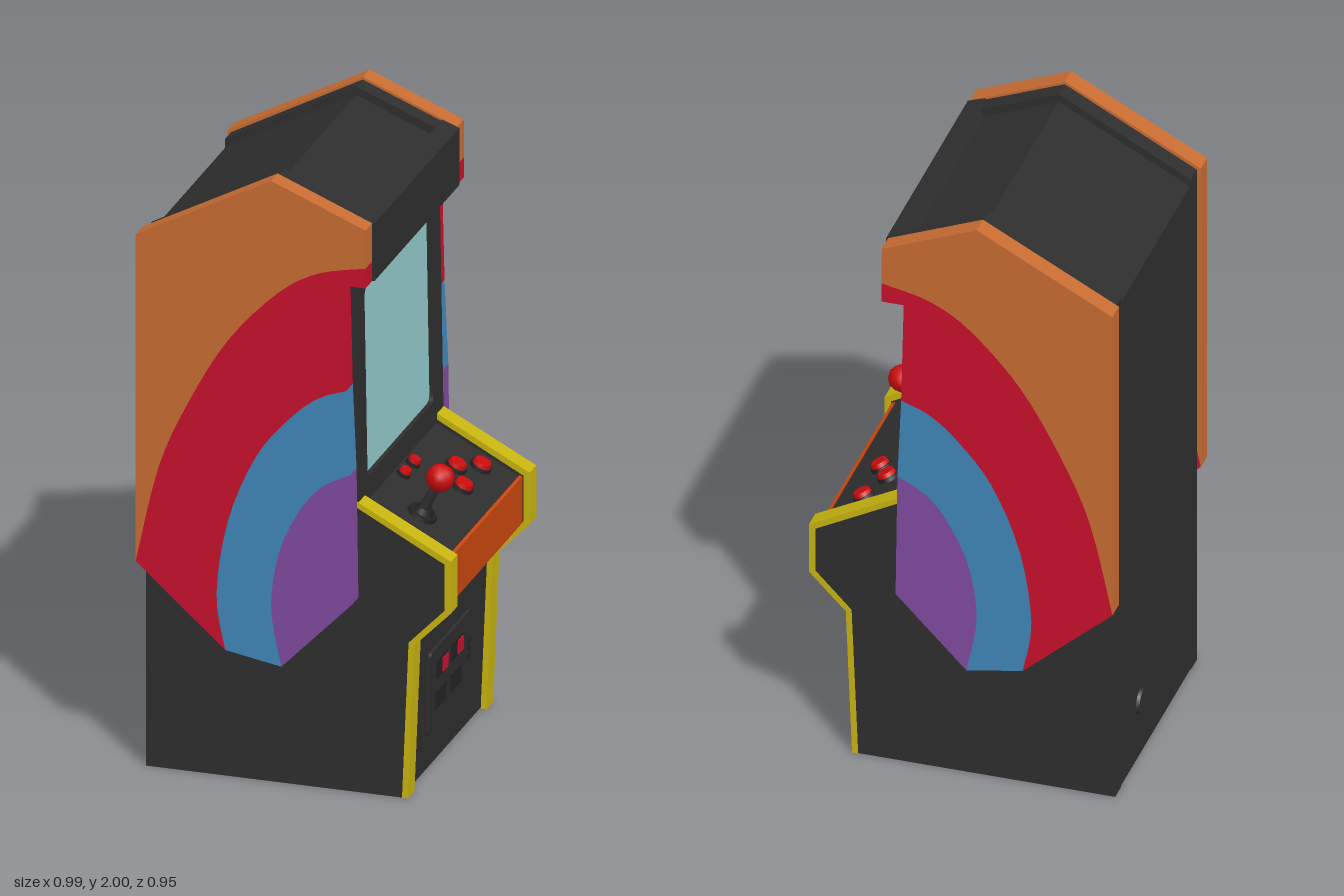
import * as THREE from 'three';

const mat = (name, color) => Object.assign(new THREE.MeshStandardMaterial({ color }), { name });
const M = {
  black: mat('cabinet black', 0x2e2e2e),
  shade: mat('fittings black', 0x222222),
  orange: mat('band orange', 0xc86c32),
  red: mat('band red', 0xc8102c),
  blue: mat('band blue', 0x4086b8),
  purple: mat('band purple', 0x804a9e),
  yellow: mat('trim yellow', 0xc8b40f),
  cyan: mat('screen cyan', 0x92c9ca),
  rust: mat('control front orange', 0xc8460e),
  button: mat('button red', 0xcc0c0c),
};

const V = (a) => a.map(([x, y]) => new THREE.Vector2(x, y));

function add(parent, name, geometry, material, x = 0, y = 0, z = 0) {
  const mesh = new THREE.Mesh(geometry, material);
  mesh.name = name;
  mesh.position.set(x, y, z);
  parent.add(mesh);
  return mesh;
}

// Side profile (x, y) extruded between two z values
function slab(parent, name, points, z0, z1, material) {
  const geo = new THREE.ExtrudeGeometry(new THREE.Shape(points), { depth: z1 - z0, bevelEnabled: false });
  return add(parent, name, geo, material, 0, 0, z0);
}

function roundRect(w, h, r, Type = THREE.Shape) {
  const s = new Type(), x = w / 2, y = h / 2;
  s.moveTo(-x + r, -y).lineTo(x - r, -y).quadraticCurveTo(x, -y, x, -y + r);
  s.lineTo(x, y - r).quadraticCurveTo(x, y, x - r, y);
  s.lineTo(-x + r, y).quadraticCurveTo(-x, y, -x, y - r);
  s.lineTo(-x, -y + r).quadraticCurveTo(-x, -y, -x + r, -y);
  return s;
}

const plate = (shape, depth) => new THREE.ExtrudeGeometry(shape, { depth, bevelEnabled: false, curveSegments: 5 });

// Group whose local +z looks along +x, with a lean
function facing(parent, name, x, y, lean) {
  const g = new THREE.Group();
  g.name = name;
  g.position.set(x, y, 0);
  g.rotation.set(lean, Math.PI / 2, 0, 'YXZ');
  parent.add(g);
  return g;
}

export function createModel() {
  const root = new THREE.Group();
  root.name = 'arcadeCabinet';

  // Curved borders between the painted bands
  const arc = (p) => new THREE.SplineCurve(V(p)).getPoints(24);
  const arc1 = arc([[-0.497, 0.695], [-0.425, 1.01], [-0.33, 1.235], [-0.2, 1.46], [-0.04, 1.635], [0.09, 1.715], [0.24, 1.75]]);
  const arc2 = arc([[-0.21, 0.44], [-0.238, 0.62], [-0.2, 0.87], [-0.11, 1.09], [0, 1.23], [0.09, 1.305], [0.178, 1.34]]);
  const arc3 = arc([[-0.03, 0.408], [-0.063, 0.6], [-0.035, 0.79], [0.03, 0.93], [0.1, 1.015], [0.19, 1.065]]);
  const rev = (a) => [...a].reverse();
  const bands = [
    ['orangeBand', [...arc1, ...V([[0.24, 1.875], [-0.063, 2], [-0.497, 1.77]])], M.orange],
    ['redBand', [...arc1, ...V([[0.24, 1.685], [0.17, 1.685]]), ...rev(arc2)], M.red],
    ['blueBand', [...arc2, ...rev(arc3)], M.blue],
    ['purpleBand', [...arc3, new THREE.Vector2(0.196, 0.64)], M.purple],
  ];

  // Yellow edging and the dark side board behind it
  const edgeOut = V([[0.19, 0.955], [0.493, 0.795], [0.493, 0.625], [0.375, 0.505], [0.355, 0]]);
  const edgeIn = V([[0.19, 0.935], [0.473, 0.783], [0.473, 0.632], [0.357, 0.512], [0.336, 0]]);
  const board = [...V([[-0.485, 0], [-0.485, 1.765], [-0.063, 1.992], [0.235, 1.87], [0.235, 1.69], [0.18, 1.69]]), ...edgeIn];

  for (const s of [1, -1]) {
    const side = new THREE.Group();
    side.name = s > 0 ? 'nearSide' : 'farSide';
    root.add(side);
    const put = (name, pts, a, b, m) => slab(side, name, pts, s > 0 ? a : -b, s > 0 ? b : -a, m);
    for (const [name, pts, m] of bands) put(name, pts, 0.411, 0.475, m);
    put('sideBoard', board, 0.35, 0.41, M.black);
    put('edgeTrim', [...edgeOut, ...rev(edgeIn)], 0.348, 0.412, M.yellow);
  }

  // Cabinet core between the boards
  slab(root, 'cabinetCore', V([[-0.482, 0.015], [0.335, 0.015], [0.352, 0.5], [0.464, 0.63], [0.464, 0.776],
    [0.2, 0.915], [0.14, 0.93], [0.14, 1.69], [0.2, 1.7], [0.2, 1.855], [-0.063, 1.965], [-0.482, 1.74]]), -0.35, 0.35, M.black);
  for (const x of [-0.47, 0.32]) add(root, 'baseRim', new THREE.BoxGeometry(0.025, 0.03, 0.7), M.black, x, 0.015, 0);
  slab(root, 'header', V([[0.17, 1.685], [0.247, 1.685], [0.247, 1.873], [0.192, 1.893], [0.17, 1.86]]), -0.41, 0.41, M.black);
  slab(root, 'controlFront', V([[0.46, 0.628], [0.47, 0.628], [0.47, 0.78], [0.46, 0.783]]), -0.348, 0.348, M.rust);

  // Screen and its surround
  const monitor = facing(root, 'monitor', 0.19, 1.31, -0.017);
  const surround = new THREE.Shape(V([[-0.41, -0.385], [0.41, -0.385], [0.41, 0.38], [-0.41, 0.38]]));
  surround.holes.push(roundRect(0.64, 0.615, 0.03, THREE.Path));
  add(monitor, 'screenSurround', plate(surround, 0.045), M.black, 0, 0, -0.045);
  add(monitor, 'screen', plate(roundRect(0.66, 0.635, 0.03), 0.008), M.cyan, 0, 0, -0.022);

  // Coin door
  const door = facing(root, 'coinDoor', 0.3438, 0.255, 0.035);
  add(door, 'doorPlate', plate(roundRect(0.395, 0.275, 0.018), 0.01), M.black);
  for (const u of [-0.095, 0.052]) {
    add(door, 'coinSlotFrame', new THREE.BoxGeometry(0.095, 0.06, 0.008), M.shade, u, 0.067, 0.012);
    add(door, 'coinButton', new THREE.BoxGeometry(0.046, 0.044, 0.014), M.red, u + 0.018, 0.067, 0.014);
    add(door, 'coinReturn', new THREE.BoxGeometry(0.09, 0.06, 0.008), M.shade, u - 0.003, -0.035, 0.012);
  }
  for (const y of [0.04, 0.015, -0.01]) add(door, 'doorLock', new THREE.BoxGeometry(0.018, 0.016, 0.006), M.shade, 0.172, y, 0.011);

  // Sloping control deck: local y is its normal, local x runs down the slope
  const deck = new THREE.Group();
  deck.name = 'controlDeck';
  deck.position.set(0.2, 0.915, 0);
  deck.rotation.z = -Math.atan2(0.139, 0.264);
  root.add(deck);
  const disc = (r0, r1, h) => new THREE.CylinderGeometry(r0, r1, h, 10).toNonIndexed();
  const addButton = (x, z, r) => {
    add(deck, 'buttonRing', disc(r * 1.1, r * 1.2, 0.012), M.shade, x, 0.006, z);
    add(deck, 'button', disc(r * 0.85, r, 0.014), M.button, x, 0.018, z);
  };
  for (const [x, z] of [[0.183, -0.263], [0.127, -0.175], [0.183, -0.088]]) addButton(x, z, 0.031);
  for (const z of [0.045, -0.045]) addButton(0.02, z, 0.02);
  add(deck, 'stickBase', disc(0.046, 0.05, 0.012), M.shade, 0.145, 0.006, 0.197);
  add(deck, 'stickCollar', disc(0.024, 0.034, 0.02), M.shade, 0.145, 0.02, 0.197);
  add(deck, 'stick', disc(0.015, 0.018, 0.11), M.black, 0.14, 0.07, 0.197);
  add(deck, 'stickBall', new THREE.IcosahedronGeometry(0.045, 1), M.button, 0.138, 0.14, 0.197);

  // Cable socket on the back
  const socket = add(root, 'cableSocket', new THREE.CylinderGeometry(0.04, 0.045, 0.012, 8), M.black, -0.486, 0.19, -0.15);
  socket.rotation.z = Math.PI / 2;

  return root;
}
